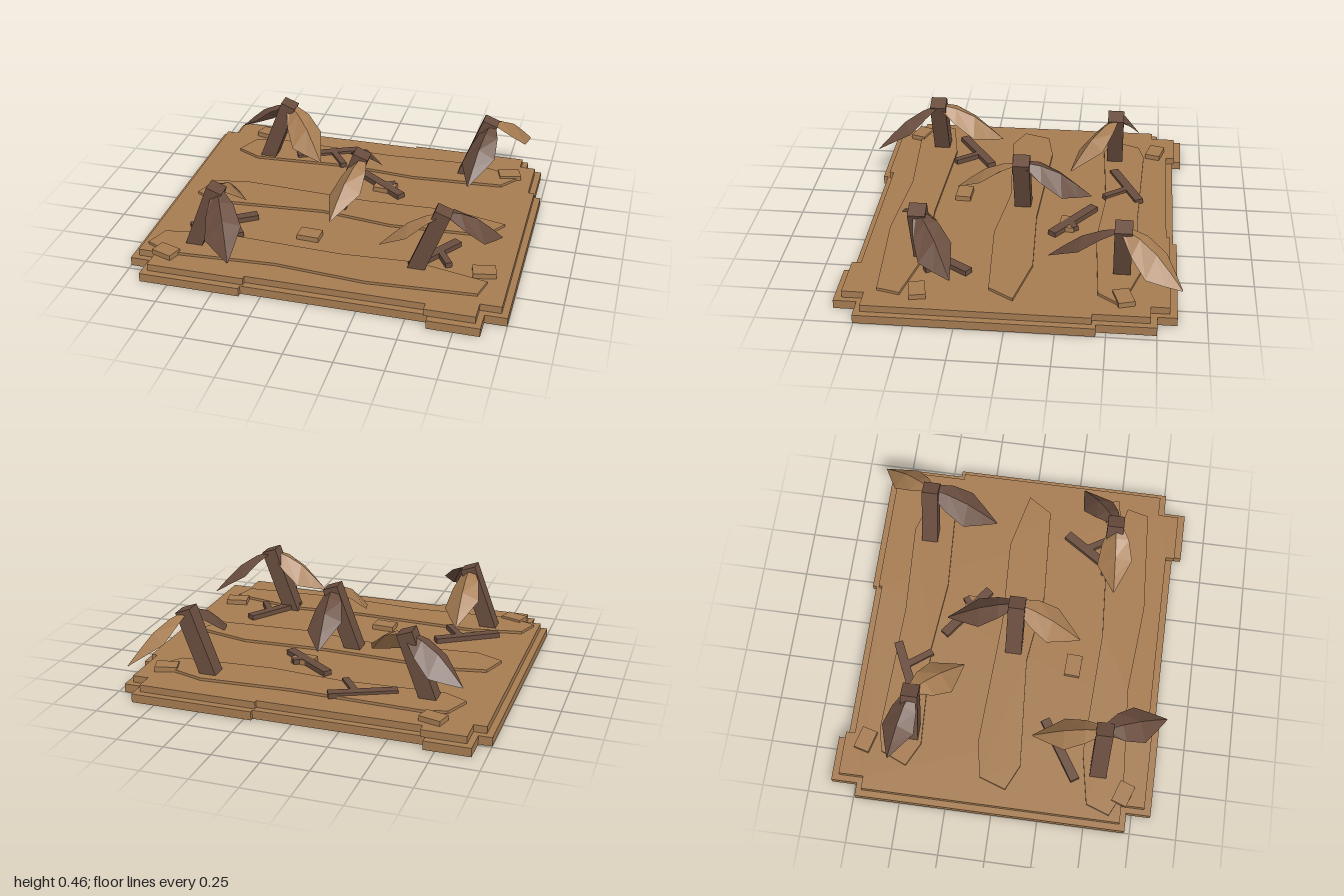
import * as THREE from 'three';

const soil = new THREE.MeshStandardMaterial({ color: 0xa67c52 });
soil.name = 'dry soil';
const wood = new THREE.MeshStandardMaterial({ color: 0x694d3e });
wood.name = 'dead wood';
const tanLeaf = new THREE.MeshStandardMaterial({ color: 0xa67c52, side: THREE.DoubleSide });
tanLeaf.name = 'tan leaf';
const brownLeaf = new THREE.MeshStandardMaterial({ color: 0x694d3e, side: THREE.DoubleSide });
brownLeaf.name = 'brown leaf';

const GROUND = 0.085;

function add(parent, name, geometry, material) {
  const mesh = new THREE.Mesh(geometry, material);
  mesh.name = name;
  parent.add(mesh);
  return mesh;
}

// Flat plate from an [x, z] outline between two heights
function plate(points, y0, y1, sx = 1, sz = 1) {
  const shape = new THREE.Shape(points.map(([x, z]) => new THREE.Vector2(x * sx, -z * sz)));
  return new THREE.ExtrudeGeometry(shape, { depth: y1 - y0, bevelEnabled: false })
    .rotateX(-Math.PI / 2).translate(0, y0, 0);
}

// Flat bar lying on the ground between two [x, z] points
function bar(parent, name, [x0, z0], [x1, z1], width) {
  const mesh = add(parent, name,
    new THREE.BoxGeometry(Math.hypot(x1 - x0, z1 - z0), 0.028, width), wood);
  mesh.position.set((x0 + x1) / 2, GROUND + 0.016, (z0 + z1) / 2);
  mesh.rotation.y = -Math.atan2(z1 - z0, x1 - x0);
}

// Folded drooping leaf: distance out, half width, then heights of left edge, ridge, right edge
const leafSections = [
  [0, 0.025, 0.42, 0.43, 0.43],
  [0.1, 0.072, 0.335, 0.405, 0.39],
  [0.205, 0.094, 0.255, 0.355, 0.315],
  [0.29, 0.048, 0.23, 0.285, 0.262],
  [0.37, 0.003, 0.21, 0.212, 0.21],
];
function leafGeometry(length) {
  const pos = [], index = [];
  leafSections.forEach(([u, w, ...ys], i) => {
    ys.forEach((y, j) => pos.push((j - 1) * w, y, u * length / 0.37));
    if (i === 0) return;
    for (let j = 0; j < 2; j++) {
      const c = i * 3 + j, a = c - 3;
      index.push(a, c, a + 1, a + 1, c, c + 1);
    }
  });
  const indexed = new THREE.BufferGeometry();
  indexed.setAttribute('position', new THREE.Float32BufferAttribute(pos, 3));
  indexed.setIndex(index);
  const geometry = indexed.toNonIndexed();
  geometry.computeVertexNormals();
  return geometry;
}

// Leaning trunk with two leaves reaching from its top to the given tips
function addPlant(parent, [x, z], tanTip, brownTip) {
  const plant = new THREE.Group();
  plant.name = 'witheredPlant';
  parent.add(plant);
  const trunk = add(plant, 'trunk',
    new THREE.BoxGeometry(0.086, 0.42, 0.09).translate(0, -0.21, 0), wood);
  trunk.position.set(x, 0.44, z);
  trunk.rotation.z = -0.36;
  for (const [name, tip, material] of [['tanLeaf', tanTip, tanLeaf], ['brownLeaf', brownTip, brownLeaf]]) {
    const dx = tip[0] - x, dz = tip[1] - z;
    const leaf = add(plant, name, leafGeometry(Math.hypot(dx, dz)), material);
    leaf.position.set(x, 0, z);
    leaf.rotation.y = Math.atan2(dx, dz);
  }
}

export function createModel() {
  const model = new THREE.Group();
  model.name = 'dryGroundTile';

  // Stepped ground slabs
  const outline = [
    [-0.93, -0.88], [-0.69, -0.88], [-0.69, -0.83], [0.21, -0.83], [0.21, -0.85], [0.875, -0.85],
    [0.875, -0.75], [0.965, -0.75], [0.965, -0.45], [1, -0.45], [1, 0.755], [0.885, 0.755],
    [0.885, 0.875], [0.615, 0.875], [0.615, 0.825], [-0.36, 0.825], [-0.36, 0.85], [-0.9, 0.85],
    [-0.9, 0.72], [-1, 0.72], [-1, -0.74], [-0.93, -0.74],
  ];
  add(model, 'lowerSlab', plate(outline, 0, 0.047), soil);
  add(model, 'upperSlab', plate(outline, 0.047, GROUND, 0.965, 0.955), soil);

  // Low wavy ridges
  const ridges = [
    [[-0.81, -0.49], [-0.75, -0.63], [-0.63, -0.66], [0.075, -0.635], [0.57, -0.66],
      [0.86, -0.57], [0.77, -0.45], [0.26, -0.42], [-0.13, -0.455], [-0.68, -0.425]],
    [[-0.87, 0.06], [-0.82, -0.085], [-0.63, -0.12], [0.075, -0.085], [0.55, -0.105],
      [0.86, -0.03], [0.775, 0.1], [0.26, 0.13], [-0.13, 0.08], [-0.73, 0.125]],
    [[-0.935, 0.625], [-0.89, 0.5], [-0.61, 0.45], [0.075, 0.48], [0.47, 0.455],
      [0.86, 0.54], [0.83, 0.66], [0.26, 0.695], [-0.225, 0.655], [-0.8, 0.69]],
  ];
  ridges.forEach((r) => add(model, 'groundRidge', plate(r, GROUND, 0.1), soil));

  // Flat stones: x, z, turn
  const stones = [[-0.81, 0.69, -0.33], [0.83, 0.455, 0.2], [-0.7, -0.725, -0.26],
    [0.8, -0.58, 0.3], [-0.13, 0.34, -0.05], [0.14, -0.26, -0.1]];
  for (const [x, z, turn] of stones) {
    const stone = add(model, 'flatStone', new THREE.BoxGeometry(0.12, 0.028, 0.085), soil);
    stone.position.set(x, GROUND + 0.014, z);
    stone.rotation.y = turn;
  }

  // Fallen twigs: start, end, tip of the side branch
  const twigs = [
    [[-0.77, 0.425], [-0.46, 0.225], [-0.485, 0.44]],
    [[-0.45, -0.49], [-0.125, -0.64], [-0.155, -0.445]],
    [[-0.04, -0.395], [0.25, -0.18], [0.19, -0.305]],
    [[0.46, 0.5], [0.65, 0.215], [0.645, 0.445]],
  ];
  for (const [start, end, tip] of twigs) {
    const twig = new THREE.Group();
    twig.name = 'fallenTwig';
    model.add(twig);
    const fork = [0, 1].map((k) => start[k] + (end[k] - start[k]) * 0.6);
    bar(twig, 'twigStem', start, end, 0.05);
    bar(twig, 'twigBranch', fork, tip, 0.036);
  }

  // Plants: trunk top, tan leaf tip, brown leaf tip
  addPlant(model, [-0.565, 0.545], [-0.585, 0.17], [-0.4, 0.875]);
  addPlant(model, [-0.49, -0.49], [-0.24, -0.25], [-0.81, -0.58]);
  addPlant(model, [0.07, 0], [-0.015, 0.36], [0.02, -0.38]);
  addPlant(model, [0.68, -0.565], [0.875, -0.865], [0.62, -0.19]);
  addPlant(model, [0.615, 0.475], [0.29, 0.51], [0.89, 0.28]);

  return model;
}
